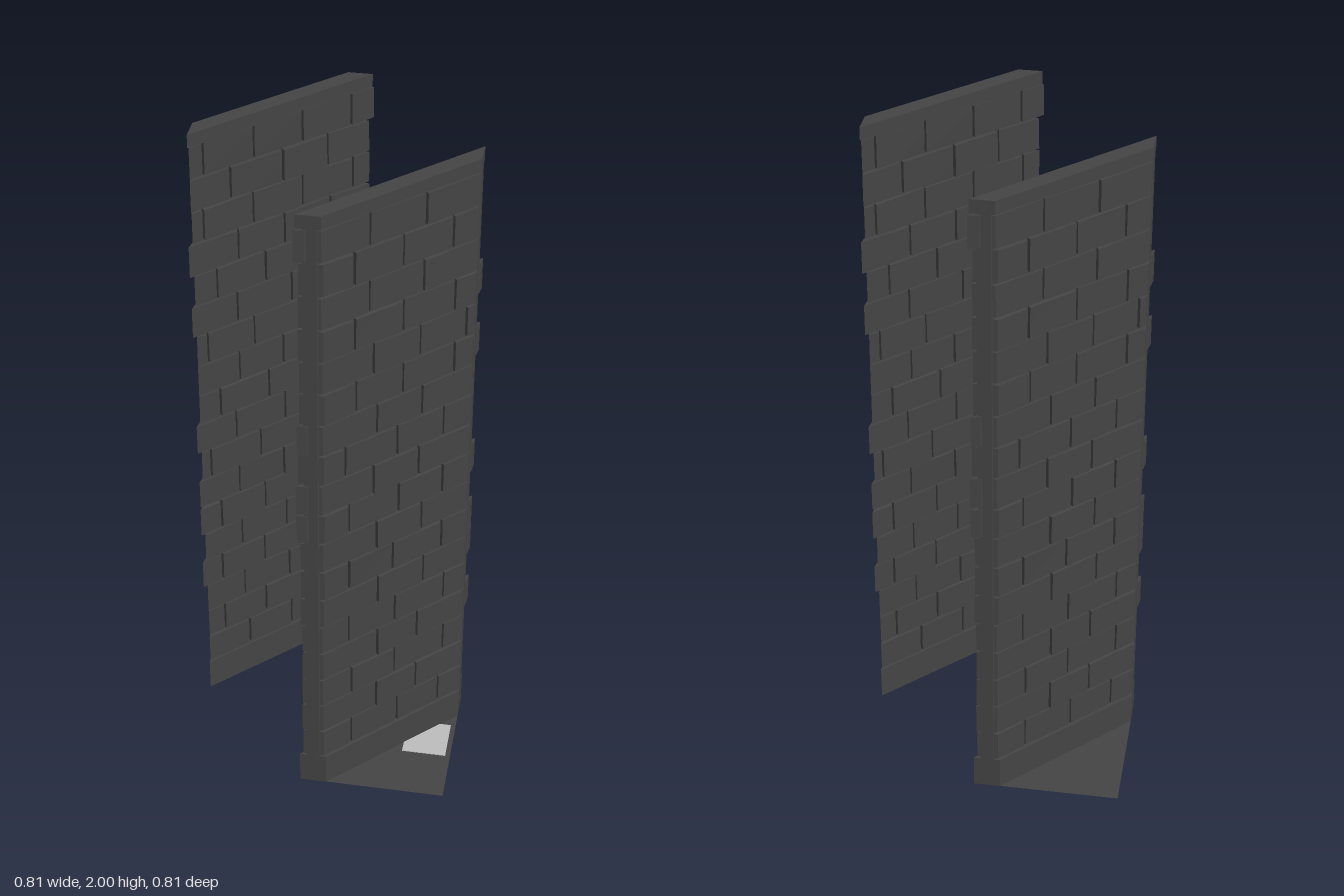
import * as THREE from 'three';
import { mergeGeometries } from 'three/addons/utils/BufferGeometryUtils.js';

const R2 = Math.SQRT2;
const END = 0.8 / R2; // mitred wall ends: half length at depth d is END - d

// small seeded random, range -1..1
let seed = 7;
const rand = () => {
  seed = (seed * 16807) % 2147483647;
  return (seed / 2147483647) * 2 - 1;
};

// box whose eight corners are placed by a rule from their signs
function cornerBox(place) {
  const g = new THREE.BoxGeometry(2, 2, 2);
  const p = g.attributes.position;
  const cache = {};
  for (let i = 0; i < p.count; i++) {
    const s = [p.getX(i), p.getY(i), p.getZ(i)];
    cache[s] ??= place(...s);
    p.setXYZ(i, ...cache[s]);
  }
  g.computeVertexNormals();
  return g;
}

// mitred slab between two depths, running the full wall length
function slab(inner, outer, y0, y1) {
  return cornerBox((sx, sy, sz) => {
    const d = (sz > 0 ? outer : inner) / R2;
    return [sx * (END - d), sy > 0 ? y1 : y0, d];
  });
}

// brick courses for one side of a wall
const ROWS = 18, BASE = 0.105, TOP = 1.96, PITCH = (TOP - BASE) / ROWS;
const JUT_RIGHT = [3, 5, 6, 8, 12, 14], JUT_LEFT = [8, 9, 11, 17];

function courses(inner, outer, isInner) {
  const parts = [];
  const dIn = inner / R2, dOut = outer / R2;
  const faceD = isInner ? dIn : dOut;
  const half = END - faceD, len = 0.167, gap = 0.004;
  for (let r = 0; r < ROWS; r++) {
    // running bond joints, with slightly uneven lengths
    const joints = [-half];
    const start = (r % 2 ? 0.5 : 0) * len + rand() * 0.015;
    for (let k = -3; k <= 3; k++) {
      const u = start + k * len + rand() * 0.012;
      if (Math.abs(u) < half - 0.03) joints.push(u);
    }
    joints.push(half);
    for (let i = 0; i < joints.length - 1; i++) {
      const first = i === 0, last = i === joints.length - 2;
      const push = rand() * 0.0025;
      parts.push(cornerBox((sx, sy, sz) => {
        let d = sz > 0 ? dOut : dIn;
        const exposed = (sz < 0) === isInner;
        if (exposed) d += push + rand() * 0.001;
        let u = sx < 0 ? joints[i] + gap : joints[i + 1] - gap;
        const atEnd = sx < 0 ? first : last;
        if (atEnd) {
          const jut = isInner && (sx > 0 ? JUT_RIGHT : JUT_LEFT).includes(r);
          u = sx * (END - d + (jut ? (exposed ? 0.01 : 0.004) : -0.003));
        }
        const y = BASE + PITCH * (r + (sy > 0 ? 1 : 0)) - sy * 0.003 + rand() * 0.002;
        return [u, y, d];
      }));
    }
  }
  return mergeGeometries(parts);
}

export function createModel() {
  const model = new THREE.Group();
  model.name = 'brickWallPair';
  const stone = new THREE.MeshStandardMaterial({ color: 0x444444, side: THREE.DoubleSide });
  stone.name = 'darkStone';
  const pale = new THREE.MeshStandardMaterial({ color: 0xbcbcbc, side: THREE.DoubleSide });
  pale.name = 'paleGrey';

  const add = (parent, name, geometry, material = stone) => {
    const mesh = new THREE.Mesh(geometry, material);
    mesh.name = name;
    parent.add(mesh);
    return mesh;
  };

  const core = slab(0.38, 0.42, 0.05, 1.98);
  const plinth = slab(0.36, 0.44, 0, BASE);
  const cap = slab(0.362, 0.432, TOP, 2);
  const innerBricks = courses(0.366, 0.392, true);
  const outerBricks = courses(0.408, 0.433, false);

  // triangular floor behind each wall
  const tri = new THREE.Shape([[0.4, -0.04], [0.4, 0.4], [-0.04, 0.4]].map(([x, z]) => new THREE.Vector2(x, -z)));
  const floor = new THREE.ShapeGeometry(tri).rotateX(-Math.PI / 2).translate(0, 0.001, 0);

  // two identical walls, half a turn apart
  for (const [i, side] of ['front', 'back'].entries()) {
    const half = new THREE.Group();
    half.name = side + 'Half';
    half.rotation.y = i * Math.PI;
    const wall = new THREE.Group();
    wall.name = side + 'Wall';
    wall.rotation.y = Math.PI / 4;
    add(wall, 'wallCore', core);
    add(wall, 'plinth', plinth);
    add(wall, 'capStone', cap);
    add(wall, 'innerBricks', innerBricks);
    add(wall, 'outerBricks', outerBricks);
    half.add(wall);
    add(half, 'floor', floor);
    model.add(half);
  }

  // pale plate let into the front floor
  const outline = [[0.25, 0.19], [0.35, 0.09], [0.385, 0.09], [0.385, 0.228], [0.25, 0.228]];
  const plate = new THREE.Shape(outline.map(([x, z]) => new THREE.Vector2(x, -z)));
  add(model, 'floorPlate', new THREE.ExtrudeGeometry(plate, { depth: 0.003, bevelEnabled: false })
    .rotateX(-Math.PI / 2), pale);

  return model;
}
